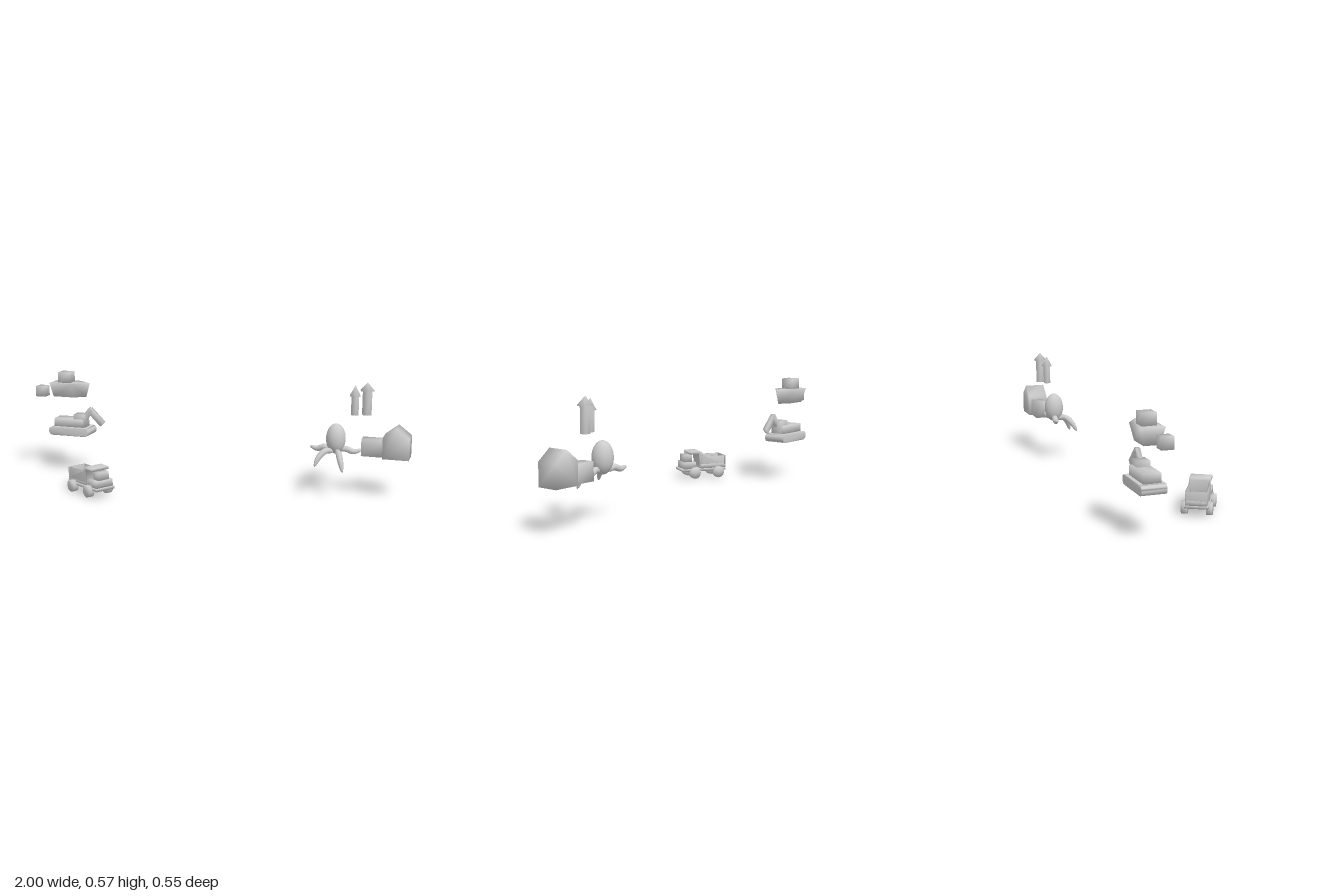
import * as THREE from 'three';
import { mergeVertices } from 'three/addons/utils/BufferGeometryUtils.js';
import { ConvexGeometry } from 'three/addons/geometries/ConvexGeometry.js';

const grey = new THREE.MeshStandardMaterial({ color: 0xcccccc });

// Share corners so shading runs softly over the edges
function soften(geometry) {
  geometry.deleteAttribute('normal');
  geometry.deleteAttribute('uv');
  const merged = mergeVertices(geometry, 1e-5);
  merged.computeVertexNormals();
  return merged;
}

function add(parent, name, geometry, x = 0, y = 0, z = 0) {
  const mesh = new THREE.Mesh(geometry, grey);
  mesh.name = name;
  mesh.position.set(x, y, z);
  parent.add(mesh);
  return mesh;
}

// Box given by its limits on each axis
function block(parent, name, [x0, x1], [y0, y1], [z0, z1]) {
  const g = soften(new THREE.BoxGeometry(x1 - x0, y1 - y0, z1 - z0));
  return add(parent, name, g, (x0 + x1) / 2, (y0 + y1) / 2, (z0 + z1) / 2);
}

// Side profile in x and y, extruded between two z limits
function slab(parent, name, points, z0, z1) {
  const shape = new THREE.Shape(points.map(([x, y]) => new THREE.Vector2(x, y)));
  const g = new THREE.ExtrudeGeometry(shape, { depth: z1 - z0, bevelEnabled: false });
  return add(parent, name, soften(g), 0, 0, z0);
}

function newGroup(parent, name) {
  const group = new THREE.Group();
  group.name = name;
  parent.add(group);
  return group;
}

function addTruck(parent) {
  const truck = newGroup(parent, 'dumpTruck');
  truck.position.set(-0.543, 0, 0.157);
  truck.rotation.y = THREE.MathUtils.degToRad(-31);
  block(truck, 'chassis', [-0.125, 0.127], [0.038, 0.052], [-0.054, 0.054]);
  block(truck, 'hood', [0.05, 0.118], [0.05, 0.088], [-0.05, 0.05]);
  block(truck, 'cab', [0.066, 0.112], [0.086, 0.128], [-0.031, 0.031]);
  // Open dump bed with a canopy over the cab
  block(truck, 'bedFloor', [-0.125, 0.02], [0.05, 0.075], [-0.05, 0.05]);
  block(truck, 'bedTail', [-0.125, -0.117], [0.07, 0.118], [-0.05, 0.05]);
  const side = [[-0.125, 0.065], [0.025, 0.065], [0.03, 0.131], [0.022, 0.146], [-0.003, 0.118], [-0.125, 0.118]];
  for (const z of [-0.05, 0.042]) slab(truck, 'bedSide', side, z, z + 0.008);
  slab(truck, 'bedFrontAndCanopy',
    [[0.012, 0.065], [0.025, 0.065], [0.03, 0.131], [0.083, 0.131], [0.083, 0.146], [0.02, 0.146], [0.01, 0.135]],
    -0.05, 0.05);
  for (const x of [-0.078, 0.06]) for (const z of [-0.057, 0.057]) {
    const wheel = add(truck, 'wheel', soften(new THREE.CylinderGeometry(0.031, 0.031, 0.028, 12)), x, 0.031, z);
    wheel.rotation.x = Math.PI / 2;
  }
}

function addExcavator(parent) {
  const digger = newGroup(parent, 'excavator');
  // Track base with rounded ends
  const r = 0.023, track = new THREE.Shape();
  track.absarc(-0.721, 0.228, r, -Math.PI / 2, Math.PI / 2);
  track.absarc(-0.907, 0.228, r, Math.PI / 2, Math.PI * 1.5);
  const g = new THREE.ExtrudeGeometry(track, { depth: 0.114, bevelEnabled: false, curveSegments: 6 });
  add(digger, 'tracks', soften(g), 0, 0, -0.275);
  block(digger, 'body', [-0.904, -0.735], [0.245, 0.294], [-0.258, -0.178]);
  block(digger, 'cab', [-0.792, -0.727], [0.248, 0.32], [-0.244, -0.184]);
  // Arm sections from start to end
  const arms = [['boom', -0.75, 0.283, -0.7, 0.345, 0.03], ['dipper', -0.702, 0.343, -0.636, 0.277, 0.033]];
  for (const [name, x0, y0, x1, y1, thick] of arms) {
    const length = Math.hypot(x1 - x0, y1 - y0) + 0.012;
    const arm = add(digger, name, soften(new THREE.BoxGeometry(length, thick, 0.02)),
      (x0 + x1) / 2, (y0 + y1) / 2, -0.208);
    arm.rotation.z = Math.atan2(y1 - y0, x1 - x0);
  }
}

function addBoat(parent) {
  const boat = newGroup(parent, 'boat');
  const points = [];
  // Deck and keel outlines: stern, shoulder, bow, half width, height
  for (const [stern, shoulder, bow, half, y] of [[-0.92, -0.785, -0.708, 0.055, 0.489], [-0.907, -0.795, -0.73, 0.036, 0.413]]) {
    for (const s of [-1, 1]) points.push(new THREE.Vector3(stern, y, -0.222 + s * half), new THREE.Vector3(shoulder, y, -0.222 + s * half));
    points.push(new THREE.Vector3(bow, y, -0.222));
  }
  add(boat, 'hull', soften(new ConvexGeometry(points)));
  block(boat, 'cabin', [-0.88, -0.812], [0.485, 0.544], [-0.257, -0.19]);
  block(parent, 'toyBlock', [-1, -0.946], [0.412, 0.467], [-0.218, -0.163]);
}

// Tube along a curve, swelling in the middle and closing at the tip
function tentacle(parent, points) {
  const curve = new THREE.CatmullRomCurve3(points.map((p) => new THREE.Vector3(...p)));
  const rings = 16, sides = 10;
  const g = new THREE.TubeGeometry(curve, rings, 1, sides);
  const pos = g.attributes.position, v = new THREE.Vector3();
  for (let i = 0; i < pos.count; i++) {
    const t = Math.floor(i / (sides + 1)) / rings;
    const centre = curve.getPointAt(t);
    const radius = 0.0155 * Math.sqrt(Math.max(0, Math.sin(Math.PI * (0.2 + 0.8 * t))));
    v.fromBufferAttribute(pos, i).sub(centre).multiplyScalar(radius).add(centre);
    pos.setXYZ(i, v.x, v.y, v.z);
  }
  add(parent, 'tentacle', soften(g));
}

function addOctopus(parent) {
  const octopus = newGroup(parent, 'octopus');
  const head = add(octopus, 'head', new THREE.SphereGeometry(1, 24, 16), 0.635, 0.287, -0.196);
  head.scale.set(0.049, 0.076, 0.05);
  tentacle(octopus, [[0.61, 0.228, -0.202], [0.575, 0.238, -0.208], [0.54, 0.226, -0.213], [0.5, 0.235, -0.217]]);
  tentacle(octopus, [[0.62, 0.228, -0.173], [0.593, 0.232, -0.14], [0.566, 0.203, -0.112], [0.55, 0.16, -0.09]]);
  tentacle(octopus, [[0.645, 0.226, -0.173], [0.66, 0.226, -0.14], [0.677, 0.19, -0.107], [0.69, 0.14, -0.09]]);
  tentacle(octopus, [[0.66, 0.235, -0.196], [0.69, 0.236, -0.2], [0.723, 0.224, -0.207], [0.765, 0.235, -0.217]]);
}

function addHouse(parent) {
  const house = newGroup(parent, 'house');
  slab(house, 'mainHouse', [[0.87, 0.204], [1, 0.204], [1, 0.312], [0.935, 0.363], [0.87, 0.312]], -0.275, -0.173);
  block(house, 'annex', [0.762, 0.872], [0.206, 0.292], [-0.262, -0.196]);
}

function addTowers(parent) {
  const towers = newGroup(parent, 'towers');
  // x, z, wall radius, wall top, roof radius, roof tip
  for (const [x, z, r, top, roof, tip] of [[0.723, -0.208, 0.0205, 0.505, 0.0305, 0.559], [0.779, -0.231, 0.0255, 0.531, 0.0388, 0.572]]) {
    const wall = add(towers, 'towerWall', soften(new THREE.CylinderGeometry(r, r, top - 0.41, 6)), x, (top + 0.41) / 2, z);
    const cone = add(towers, 'towerRoof', soften(new THREE.ConeGeometry(roof, tip - top, 6)), x, (top + tip) / 2, z);
    wall.rotation.y = cone.rotation.y = Math.PI / 12;
  }
}

export function createModel() {
  const model = new THREE.Group();
  model.name = 'toySet';
  for (const build of [addTruck, addExcavator, addBoat, addOctopus, addHouse, addTowers]) build(model);
  return model;
}
